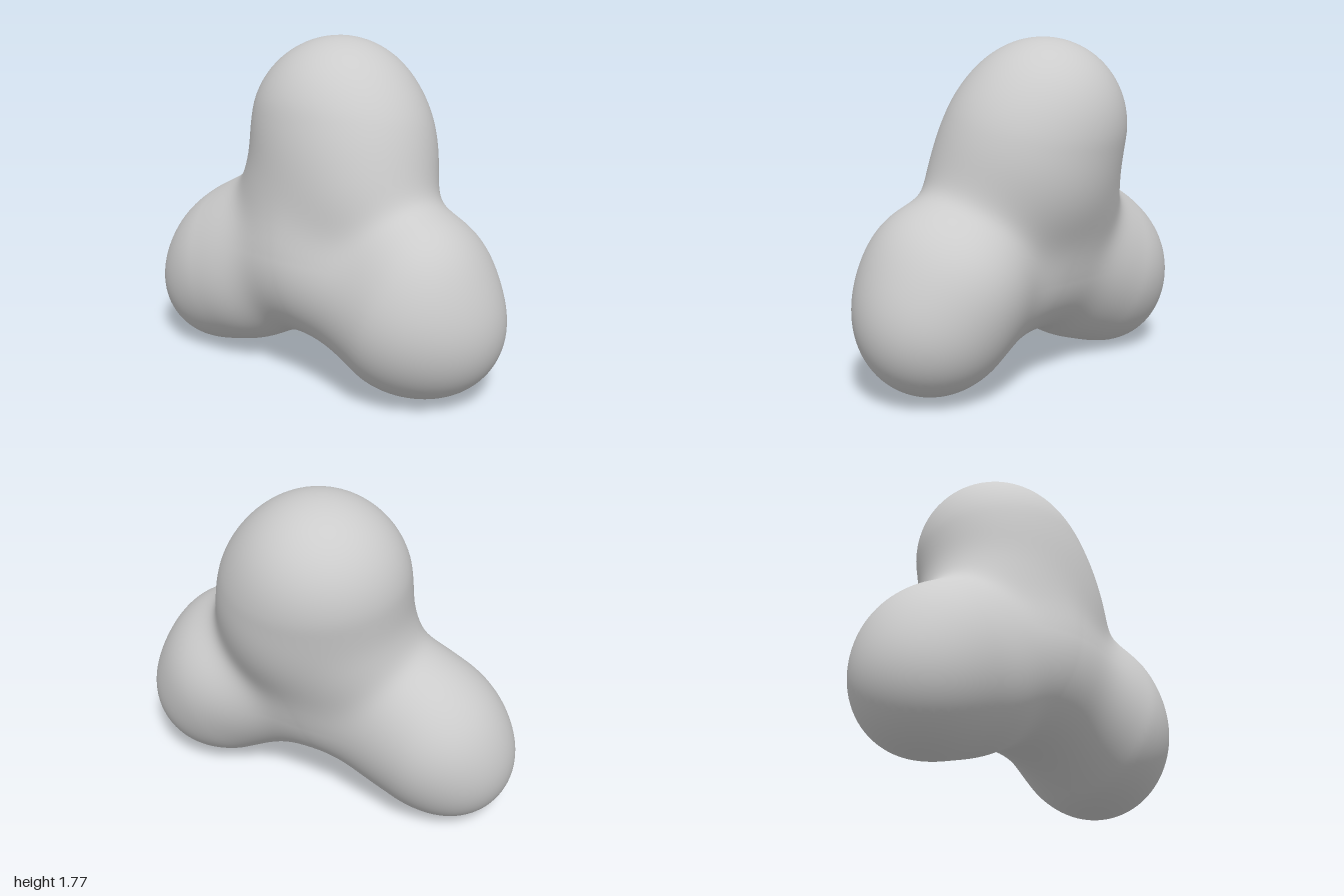
import * as THREE from 'three';
import { mergeVertices } from 'three/addons/utils/BufferGeometryUtils.js';

const ball = (x, y, z, r) => ({ at: new THREE.Vector3(x, y, z), r });

// Core of the body and the rounded lobes that grow from it
const CORE = ball(0.01, 0.64, 0.04, 0.32);
const LOBES = [
  ball(-0.05, 1.37, -0.12, 0.4), // top lobe
  ball(-0.59, 0.49, 0.17, 0.365), // right lobe
  ball(0.55, 0.46, -0.08, 0.39), // left lobe
];
// Balls that broaden the lobes and fill the webs between them
const SWELLINGS = [
  ball(0.1, 1.23, -0.12, 0.37), // sides and back of the top lobe
  ball(-0.14, 1.32, -0.05, 0.31),
  ball(0.04, 1.08, -0.15, 0.32),
  ball(-0.69, 0.33, 0.24, 0.3), // foot and underside of the right lobe
  ball(-0.4, 0.41, 0.2, 0.29),
  ball(0.66, 0.39, -0.2, 0.32), // foot and back of the left lobe
  ball(0.5, 0.6, -0.24, 0.31),
  ball(0.21, 1.0, -0.07, 0.32), // webs
  ball(-0.17, 0.95, -0.01, 0.32),
  ball(0.59, 0.68, -0.1, 0.28), // shoulders
  ball(-0.48, 0.67, 0.12, 0.27),
];
const BLEND = 0.07;

// Distance to a capsule that widens from the core to the lobe end
const axis = new THREE.Vector3();
const offset = new THREE.Vector3();
function lobeDistance(p, { at, r }) {
  axis.subVectors(at, CORE.at);
  offset.subVectors(p, CORE.at);
  const t = THREE.MathUtils.clamp(offset.dot(axis) / axis.lengthSq(), 0, 1);
  return offset.addScaledVector(axis, -t).length() - THREE.MathUtils.lerp(CORE.r, r, t);
}

// Smooth union of all lobes and swellings
function bodyDistance(p) {
  let sum = 0;
  for (const lobe of LOBES) sum += Math.exp(-lobeDistance(p, lobe) / BLEND);
  for (const { at, r } of SWELLINGS) sum += Math.exp(-(p.distanceTo(at) - r) / BLEND);
  return -BLEND * Math.log(sum);
}

// Shrink-wrap a fine sphere onto the smooth union, ray by ray
function bodyGeometry() {
  const sphere = new THREE.IcosahedronGeometry(1, 40);
  sphere.deleteAttribute('uv');
  sphere.deleteAttribute('normal');
  const geometry = mergeVertices(sphere, 1e-5);
  const position = geometry.attributes.position;
  const dir = new THREE.Vector3();
  const p = new THREE.Vector3();
  for (let i = 0; i < position.count; i++) {
    dir.fromBufferAttribute(position, i).normalize();
    let radius = 1.6;
    for (let step = 0; step < 80; step++) {
      p.copy(CORE.at).addScaledVector(dir, radius);
      const d = bodyDistance(p);
      if (Math.abs(d) < 1e-4) break;
      radius -= d * 0.8;
    }
    position.setXYZ(i, p.x, p.y, p.z);
  }

  // Centre it and stand it on the ground
  geometry.computeBoundingBox();
  const mid = geometry.boundingBox.getCenter(new THREE.Vector3());
  geometry.translate(-mid.x, -geometry.boundingBox.min.y, -mid.z);
  geometry.computeVertexNormals();
  return geometry;
}

export function createModel() {
  const model = new THREE.Group();
  model.name = 'threeLobedBlob';
  const body = new THREE.Mesh(
    bodyGeometry(),
    new THREE.MeshStandardMaterial({ color: 0xcccccc })
  );
  body.name = 'body';
  model.add(body);
  return model;
}
